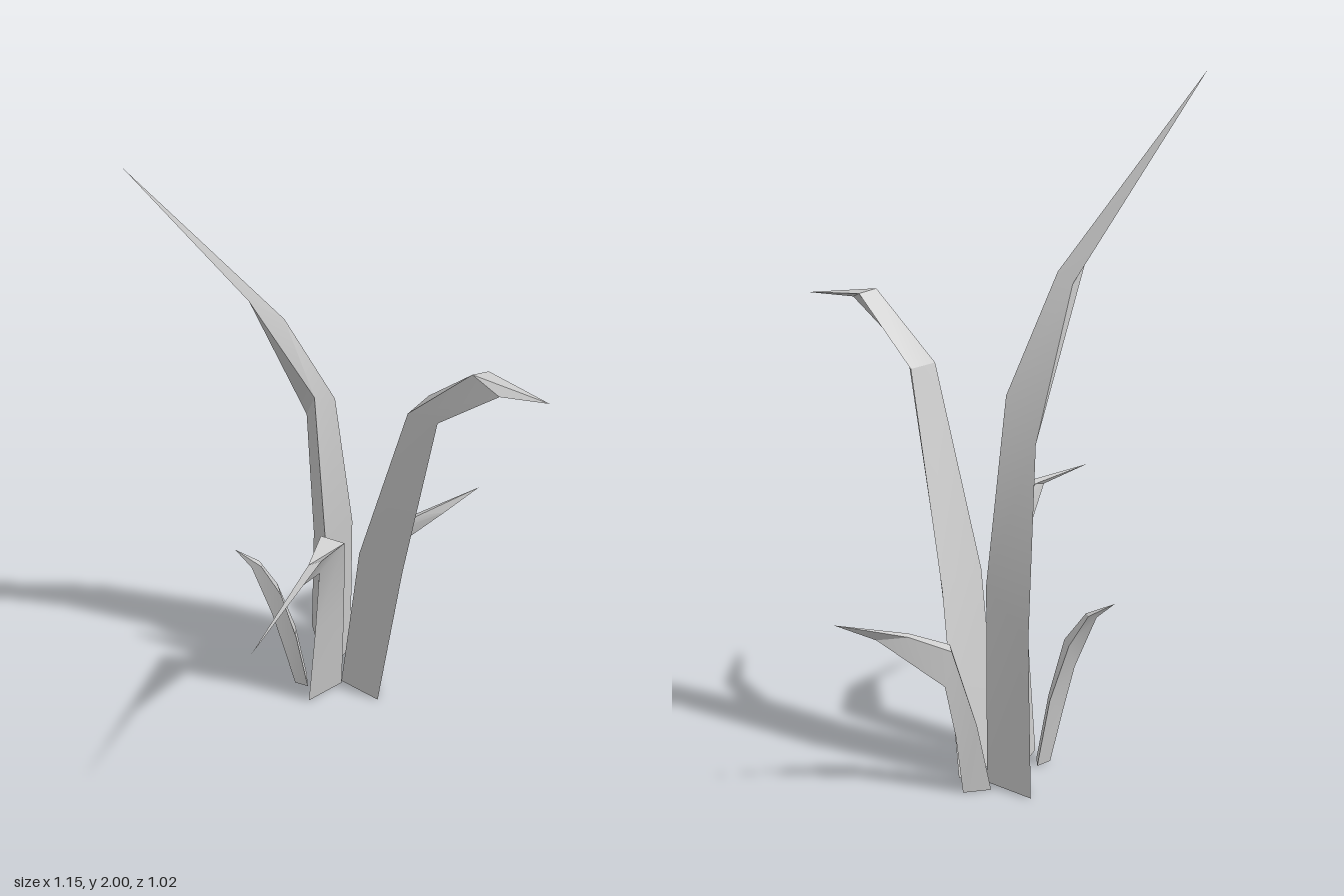
import * as THREE from 'three';
import { toCreasedNormals } from 'three/addons/utils/BufferGeometryUtils.js';

// A blade is a loft of triangular sections (two rims and a keel) closing at a tip.
function bladeGeometry(sections, tip) {
  const [a, b, c] = sections[0];
  // Reorder corners so every blade winds outward
  const area = (b[0] - a[0]) * (c[2] - a[2]) - (b[2] - a[2]) * (c[0] - a[0]);
  const rings = sections.map(([l, r, k]) => (area > 0 ? [r, l, k] : [l, r, k]));
  const positions = [];
  const face = (...corners) => corners.forEach((p) => positions.push(...p));

  const base = rings[0];
  face(base[0], base[2], base[1]);
  for (let i = 0; i < rings.length; i++) {
    for (let j = 0; j < 3; j++) {
      const n = (j + 1) % 3;
      const p = rings[i][j], q = rings[i][n];
      if (i === rings.length - 1) {
        face(p, q, tip);
      } else {
        const up = rings[i + 1];
        face(p, q, up[n]);
        face(p, up[n], up[j]);
      }
    }
  }
  const geometry = new THREE.BufferGeometry();
  geometry.setAttribute('position', new THREE.Float32BufferAttribute(positions, 3));
  return toCreasedNormals(geometry, 0.45);
}

// Sections from the ground up, each as [rim, rim, keel]
const blades = {
  tallBlade: {
    tip: [-0.58, 2, 0],
    sections: [
      [[0.06, 0, -0.36], [-0.06, 0, -0.49], [-0.03, 0, -0.25]],
      [[0.06, 0.57, -0.3], [-0.055, 0.44, -0.42], [-0.03, 0.57, -0.2]],
      [[0, 1.1, -0.2], [-0.08, 0.98, -0.3], [-0.065, 1.16, -0.12]],
      [[-0.15, 1.44, -0.11], [-0.19, 1.41, -0.15], [-0.25, 1.53, -0.065]],
    ],
  },
  wideBlade: {
    tip: [0.575, 1.33, 0.205],
    sections: [
      [[0.02, 0, -0.2], [0.14, 0, -0.33], [0.13, 0, -0.1]],
      [[0.07, 0.57, -0.13], [0.185, 0.55, -0.27], [0.195, 0.57, -0.03]],
      [[0.2, 1.16, -0.02], [0.27, 1.16, -0.11], [0.28, 1.17, 0.05]],
      [[0.37, 1.36, 0.09], [0.42, 1.35, 0.06], [0.44, 1.325, 0.155]],
    ],
  },
  frontBlade: {
    tip: [-0.28, 0.72, 0.51],
    sections: [
      [[-0.07, 0, -0.17], [0.02, 0, -0.19], [-0.09, 0, -0.11]],
      [[-0.06, 0.38, -0.12], [0.024, 0.36, -0.135], [-0.07, 0.33, -0.06]],
      [[-0.053, 0.72, -0.03], [0.02, 0.67, -0.055], [-0.06, 0.6, 0]],
      [[-0.1, 0.75, 0.15], [-0.06, 0.757, 0.14], [-0.13, 0.73, 0.23]],
    ],
  },
  backBlade: {
    tip: [0.485, 0.525, -0.515],
    sections: [
      [[0.05, 0, -0.42], [0.075, 0, -0.36], [0.13, 0, -0.44]],
      [[0.09, 0.2, -0.44], [0.105, 0.21, -0.37], [0.15, 0.17, -0.445]],
      [[0.16, 0.42, -0.44], [0.165, 0.43, -0.405], [0.18, 0.32, -0.45]],
      [[0.28, 0.47, -0.46], [0.28, 0.475, -0.44], [0.37, 0.465, -0.467]],
    ],
  },
  smallBlade: {
    tip: [-0.31, 0.5, -0.265],
    sections: [
      [[-0.09, 0, -0.24], [-0.09, 0, -0.18], [-0.13, 0, -0.2]],
      [[-0.125, 0.2, -0.245], [-0.125, 0.2, -0.185], [-0.165, 0.15, -0.2]],
      [[-0.18, 0.37, -0.25], [-0.17, 0.37, -0.19], [-0.2, 0.29, -0.2]],
      [[-0.235, 0.46, -0.255], [-0.23, 0.46, -0.225], [-0.26, 0.45, -0.235]],
    ],
  },
};

export function createModel() {
  const group = new THREE.Group();
  group.name = 'grassTuft';
  const gray = new THREE.MeshStandardMaterial({ color: 0xcccccc });
  gray.name = 'light gray';
  for (const [name, { sections, tip }] of Object.entries(blades)) {
    const mesh = new THREE.Mesh(bladeGeometry(sections, tip), gray);
    mesh.name = name;
    group.add(mesh);
  }
  return group;
}
